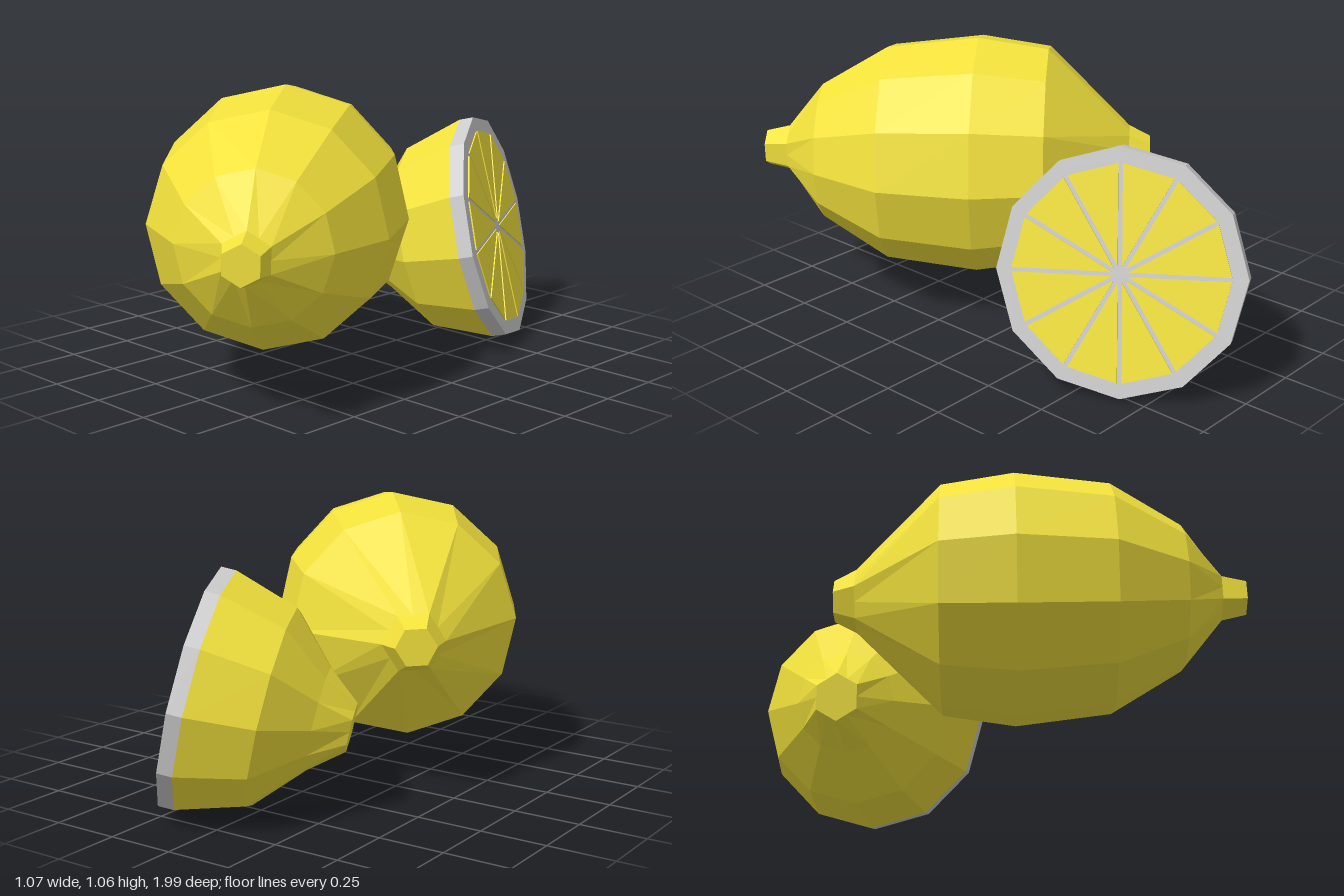
import * as THREE from 'three';

const SIDES = 12;
const STEP = (Math.PI * 2) / SIDES;
const yellow = new THREE.MeshStandardMaterial({ color: 0xf2e13c, flatShading: true });
const grey = new THREE.MeshStandardMaterial({ color: 0xcccccc, flatShading: true });

// Faceted body turned from [radius, height] pairs; hexRings maps a ring to the
// column parity that is pulled in, so that ring becomes a hexagon.
function turned(profile, roll, hexRings = {}) {
  const points = profile.map(([r, h]) => new THREE.Vector2(r, h));
  const geo = new THREE.LatheGeometry(points, SIDES, roll);
  const pos = geo.attributes.position;
  const pull = Math.cos(STEP);
  for (let col = 0; col <= SIDES; col++) {
    for (const [ring, parity] of Object.entries(hexRings)) {
      if (col % 2 !== parity) continue;
      const i = col * profile.length + Number(ring);
      pos.setX(i, pos.getX(i) * pull);
      pos.setZ(i, pos.getZ(i) * pull);
    }
  }
  geo.computeVertexNormals();
  return geo;
}

function part(name, geometry, material) {
  const mesh = new THREE.Mesh(geometry, material);
  mesh.name = name;
  return mesh;
}

// Group whose local y runs along the axis and whose local z leans upwards
function axisGroup(name, center, axis) {
  const y = axis.clone().normalize();
  const z = new THREE.Vector3(0, 1, 0).addScaledVector(y, -y.y).normalize();
  const x = new THREE.Vector3().crossVectors(y, z);
  const group = new THREE.Group();
  group.name = name;
  group.quaternion.setFromRotationMatrix(new THREE.Matrix4().makeBasis(x, y, z));
  group.position.copy(center);
  return group;
}

function wholeLemon() {
  const group = axisGroup('wholeLemon', new THREE.Vector3(0, 0.6, 0.375), new THREE.Vector3(0.62, 0, 0.785));
  const profile = [
    [0, -0.74], [0.075, -0.74], [0.115, -0.66], [0.42, -0.35], [0.46, -0.085],
    [0.418, 0.26], [0.265, 0.515], [0.092, 0.655], [0.07, 0.745], [0, 0.745],
  ];
  group.add(part('wholePeel', turned(profile, -0.04, { 1: 0, 2: 0, 7: 1, 8: 1 }), yellow));
  return group;
}

function halfLemon() {
  const group = axisGroup('halfLemon', new THREE.Vector3(0.21, 0.445, -0.6), new THREE.Vector3(0.87, 0.22, -0.44));
  const roll = 0.06;
  const peel = [[0, -0.57], [0.09, -0.57], [0.19, -0.45], [0.365, -0.29], [0.44, -0.055]];
  group.add(part('halfPeel', turned(peel, roll, { 1: 1 }), yellow));

  // Pith: outer band and the cut face behind the segments
  const pith = [[0.44, -0.055], [0.44, 0], [0.385, 0], [0, 0]];
  group.add(part('pith', turned(pith, roll), grey));

  // Twelve flesh segments with thin pith gaps between them
  const gap = 0.008;
  const reach = 0.385 * Math.cos(STEP / 2);
  const half = reach * Math.tan(STEP / 2) - gap / Math.cos(STEP / 2);
  const wedge = new THREE.Shape([
    new THREE.Vector2(0, -gap / Math.sin(STEP / 2)),
    new THREE.Vector2(-half, -reach),
    new THREE.Vector2(half, -reach),
  ]);
  const wedgeGeo = new THREE.ExtrudeGeometry(wedge, { depth: 0.005, bevelEnabled: false });
  wedgeGeo.rotateX(-Math.PI / 2);
  for (let i = 0; i < SIDES; i++) {
    const segment = part('fleshSegment', wedgeGeo, yellow);
    segment.rotation.y = roll + (i + 0.5) * STEP;
    group.add(segment);
  }
  return group;
}

export function createModel() {
  const model = new THREE.Group();
  model.name = 'lemons';
  model.add(wholeLemon(), halfLemon());
  return model;
}
